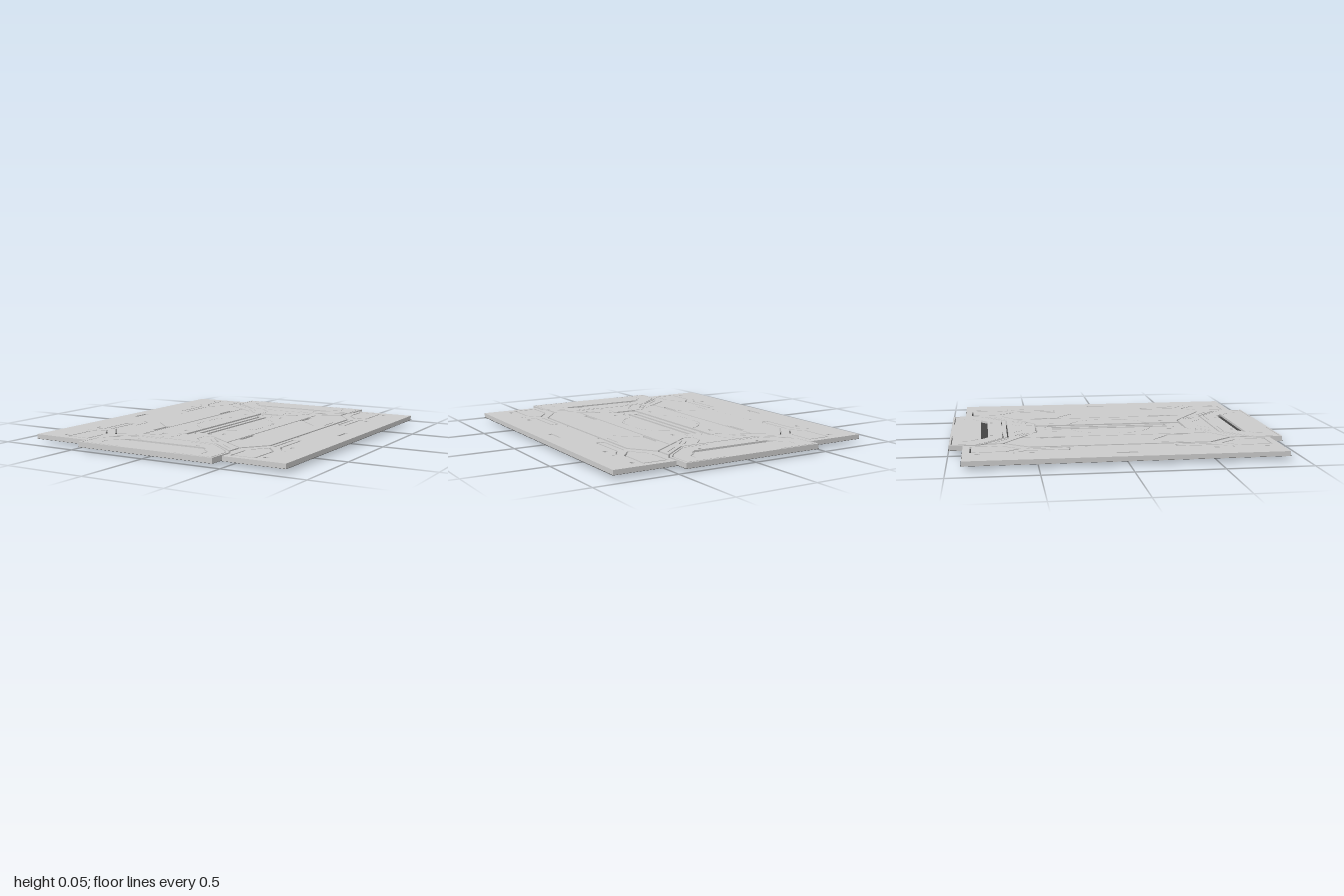
import * as THREE from 'three';
import { mergeGeometries } from 'three/addons/utils/BufferGeometryUtils.js';

const TOP = 0.052, BOTTOM = 0.02, GAP = 0.005;
const mat = (color) => new THREE.MeshStandardMaterial({ color, side: THREE.DoubleSide });
const grey = mat(0xcccccc), dark = mat(0x444444), black = mat(0x0c0c0c);

// Points are [x, z] pairs.
const flip = (pts, sx, sz) => pts.map(([x, z]) => [x * sx, z * sz]);
const vectors = (pts) => pts.map(([x, z]) => new THREE.Vector2(x, -z));

// Shift a path sideways by d with mitred corners.
function offset(pts, d, closed) {
  const n = pts.length;
  const normal = (a, b) => {
    const dx = b[0] - a[0], dz = b[1] - a[1], l = Math.hypot(dx, dz);
    return [-dz / l, dx / l];
  };
  return pts.map((p, i) => {
    const hasPrev = closed || i > 0, hasNext = closed || i < n - 1;
    const a = hasPrev ? normal(pts[(i + n - 1) % n], p) : normal(p, pts[i + 1]);
    const b = hasNext ? normal(p, pts[(i + 1) % n]) : a;
    const k = d / Math.max(0.3, 1 + a[0] * b[0] + a[1] * b[1]);
    return [p[0] + (a[0] + b[0]) * k, p[1] + (a[1] + b[1]) * k];
  });
}

const inset = (pts, d) =>
  offset(pts, THREE.ShapeUtils.area(pts.map(([x, y]) => ({ x, y }))) > 0 ? d : -d, true);

// Cut-outs: a thin groove along a path, a rectangle, or any polygon.
const groove = (pts, w = 0.008) => ({
  pts: [...offset(pts, w / 2), ...offset(pts, -w / 2).reverse()], depth: 0.012, floor: dark,
});
const pocket = (pts, floor = dark, depth = 0.014) => ({ pts, depth, floor });
const rect = (x, z, w, h, floor, depth) => pocket(
  [[x - w / 2, z - h / 2], [x + w / 2, z - h / 2], [x + w / 2, z + h / 2], [x - w / 2, z + h / 2]], floor, depth);
const mirrored = (cuts, signs) =>
  signs.flatMap(([sx, sz]) => cuts.map((c) => ({ ...c, pts: flip(c.pts, sx, sz) })));
const ALL = [[1, 1], [-1, 1], [1, -1], [-1, -1]], ENDS = [[1, 1], [1, -1]], SIDES = [[1, 1], [-1, 1]];

function sheet(pts, y, holes = []) {
  const shape = new THREE.Shape(vectors(pts));
  shape.holes = holes.map((h) => new THREE.Path(vectors(h)));
  const g = new THREE.ShapeGeometry(shape).rotateX(-Math.PI / 2).translate(0, y, 0).toNonIndexed();
  g.deleteAttribute('uv');
  return g;
}

function walls(pts, y0, y1) {
  const v = [];
  pts.forEach(([x, z], i) => {
    const [u, w] = pts[(i + 1) % pts.length];
    v.push(x, y0, z, x, y1, z, u, y1, w, x, y0, z, u, y1, w, u, y0, w);
  });
  const g = new THREE.BufferGeometry();
  g.setAttribute('position', new THREE.Float32BufferAttribute(v, 3));
  g.computeVertexNormals();
  return g;
}

// A thin plate with a skirt, a sunken seam around it and recessed cut-outs.
function panel(name, outline, cuts = [], top = TOP) {
  const group = new THREE.Group();
  group.name = name;
  const edge = inset(outline, GAP);
  const add = (part, geos, material) => {
    if (!geos.length) return;
    const mesh = new THREE.Mesh(mergeGeometries(geos), material);
    mesh.name = part;
    group.add(mesh);
  };
  add('plate', [
    sheet(edge, top, cuts.map((c) => c.pts)),
    walls(edge, BOTTOM, top),
    ...cuts.map((c) => walls(c.pts, top - c.depth, top)),
  ], grey);
  add('seam', [sheet(outline, BOTTOM + 0.002, [edge])], dark);
  for (const [part, m] of [['recessFloor', grey], ['grooveFloor', dark], ['boltHole', black]]) {
    add(part, cuts.filter((c) => c.floor === m).map((c) => sheet(c.pts, top - c.depth)), m);
  }
  return group;
}

export function createModel() {
  const model = new THREE.Group();
  model.name = 'floorPanel';

  // Details of one quarter of a side panel
  const sideCuts = mirrored([
    groove([[0.49, 0.715], [0.49, 0.87], [0.635, 0.87], [0.635, 0.67], [0.57, 0.59], [0.495, 0.69]], 0.01),
    groove([[0.575, 0.555], [0.575, 0.31], [0.62, 0.31], [0.62, 0.555], [0.65, 0.6]], 0.01),
    groove([[0.66, 0.63], [0.69, 0.63]]),
    rect(0.68, 0.83, 0.022, 0.03, black),
    rect(0.68, 0.53, 0.022, 0.03, black),
    rect(0.557, 0.21, 0.012, 0.014),
  ], ENDS);
  sideCuts.push(rect(0.745, 0, 0.025, 0.12, grey, 0.006));
  const sideEdge = [[0.845, 0.92], [0.455, 0.92], [0.455, 0.83], [0.43, 0.79], [0.43, 0.68], [0.545, 0.53]];
  const sideOutline = [...sideEdge, ...flip(sideEdge, 1, -1).reverse()];

  // Long strips between the side panels and the spine
  const outerStrip = [[0.29, 0.582], [0.43, 0.68], [0.545, 0.53], [0.545, -0.53], [0.43, -0.68], [0.29, -0.582]];
  const innerStrip = [[0.07, 0.47], [0.13, 0.47], [0.29, 0.582], [0.29, -0.582], [0.13, -0.47], [0.07, -0.47]];
  const outerCuts = [
    ...mirrored([pocket([[0.298, 0.3], [0.32, 0.32], [0.32, 0.46], [0.298, 0.46]])], ENDS),
    groove([[0.33, -0.31], [0.45, -0.2]]),
    groove([[0.515, -0.37], [0.515, -0.24]]),
  ];
  const innerCuts = [
    ...mirrored([
      rect(0.135, 0.36, 0.02, 0.03),
      groove([[0.085, 0.25], [0.13, 0.225], [0.175, 0.18]], 0.005),
      groove([[0.195, 0.155], [0.215, 0.11], [0.22, 0.03]], 0.005),
      groove([[0.195, 0.525], [0.21, 0.51]], 0.012),
      groove([[0.2, 0.13], [0.185, 0.145]], 0.012),
    ], ENDS),
  ];
  for (const s of [1, -1]) {
    const side = s > 0 ? 'left' : 'right';
    const turn = [[s, s]]; // opposite sides are half a turn apart
    model.add(panel(side + 'SidePanel', flip(sideOutline, s, 1), mirrored(sideCuts, [[s, 1]]), 0.049));
    model.add(panel(side + 'OuterStrip', flip(outerStrip, s, 1), mirrored(outerCuts, turn)));
    model.add(panel(side + 'InnerStrip', flip(innerStrip, s, 1), mirrored(innerCuts, turn)));
  }

  // End tongues and the yokes behind them
  const both = (half) => [...half, ...flip(half, -1, 1).reverse()];
  const tongue = both([[0.455, 1], [0.455, 0.83], [0.43, 0.79], [0.26, 0.65]]);
  const yoke = both([[0.26, 0.65], [0.43, 0.79], [0.43, 0.68], [0.13, 0.47]]);
  const tongueCuts = [
    pocket([[-0.3, 0.812], [0.3, 0.812], [0.25, 0.77], [-0.25, 0.77]]),
    ...mirrored([
      rect(0.2, 0.748, 0.026, 0.016),
      groove([[0.18, 0.982], [0.435, 0.982], [0.435, 0.835], [0.4, 0.79], [0.27, 0.68], [0.1, 0.68]], 0.006),
      groove([[0.34, 0.92], [0.34, 0.87], [0.29, 0.825]], 0.006),
    ], SIDES),
  ];
  const yokeCuts = mirrored([
    groove([[0.155, 0.533], [0.17, 0.52], [0.235, 0.588], [0.225, 0.605], [0.205, 0.6], [0.157, 0.545]], 0.006),
    groove([[0.075, 0.49], [0.075, 0.56], [0.13, 0.62]], 0.005),
    groove([[0.3, 0.645], [0.4, 0.728]], 0.006),
  ], SIDES);
  for (const [end, s] of [['front', 1], ['back', -1]]) {
    model.add(panel(end + 'Tongue', flip(tongue, 1, s), mirrored(tongueCuts, [[1, s]])));
    model.add(panel(end + 'Yoke', flip(yoke, 1, s), mirrored(yokeCuts, [[1, s]])));
  }

  // Spine with two long slots and a notch at each end
  const spineCuts = [
    ...mirrored([rect(0.024, 0, 0.024, 0.74)], SIDES),
    ...mirrored([groove([[0.055, 0.36], [0.055, 0.39], [0.03, 0.42]], 0.006)], ALL),
  ];
  model.add(panel('spine', [[0.07, 0.47], [-0.07, 0.47], [-0.07, -0.47], [0.07, -0.47]], spineCuts, 0.046));

  // Shallow keel below the left inner strip, chamfered at its ends
  const profile = new THREE.Shape(
    [[-0.595, 0.018], [-0.575, 0], [0.575, 0], [0.595, 0.018]].map(([z, y]) => new THREE.Vector2(z, y)));
  const keel = new THREE.Mesh(
    new THREE.ExtrudeGeometry(profile, { depth: 0.23, bevelEnabled: false })
      .rotateY(-Math.PI / 2).translate(0.3, 0, 0), grey);
  // Sides lean in towards the top
  const pos = keel.geometry.attributes.position;
  for (let i = 0; i < pos.count; i++) {
    if (pos.getY(i) > 0.01) pos.setX(i, 0.185 + (pos.getX(i) - 0.185) * 0.7);
  }
  keel.geometry.computeVertexNormals();
  keel.name = 'keel';
  model.add(keel);
  return model;
}
